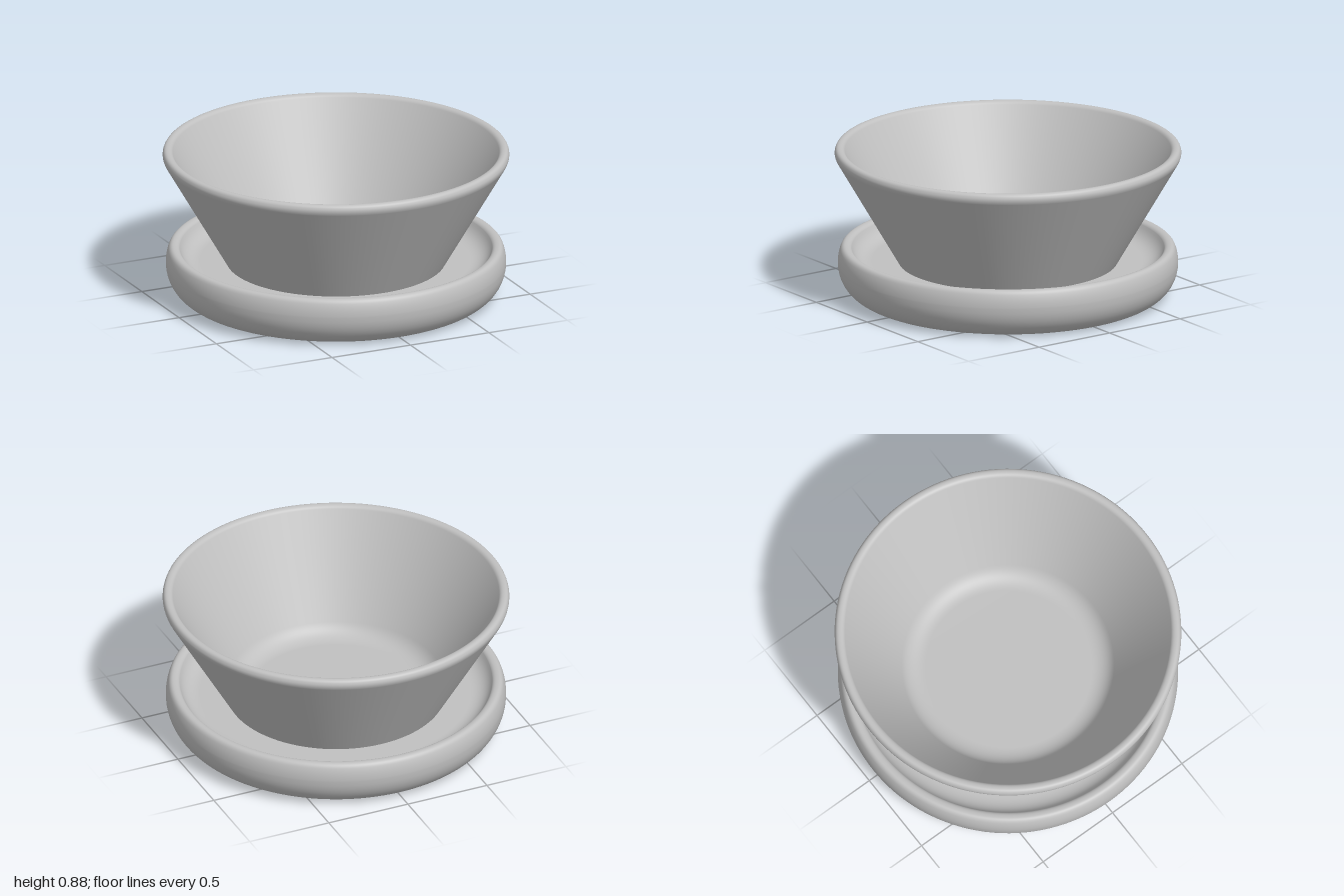
import * as THREE from 'three';
import { mergeGeometries } from 'three/addons/utils/BufferGeometryUtils.js';

const clay = new THREE.MeshStandardMaterial({ color: 0xc0c0c0 });
clay.name = 'grey clay';

const FOOT_RADIUS = 0.84;
const HOLE_RADIUS = 0.022;
const HOLE_DEPTH = 0.08;
const HOLE_OFFSET = 0.304;

function addMesh(group, name, geometry) {
  const mesh = new THREE.Mesh(geometry, clay);
  mesh.name = name;
  group.add(mesh);
  return mesh;
}

const revolve = (path, sides = 128) => new THREE.LatheGeometry(path.getPoints(10), sides);

export function createModel() {
  const model = new THREE.Group();
  model.name = 'planter with saucer';

  // Flared pot: outer wall, rounded rim, inner wall, filleted floor
  const pot = new THREE.Path();
  pot.moveTo(0.625, 0.19);
  pot.lineTo(0.99, 0.818);
  pot.quadraticCurveTo(1.003, 0.842, 0.996, 0.86);
  pot.quadraticCurveTo(0.99, 0.88, 0.97, 0.88);
  pot.quadraticCurveTo(0.948, 0.88, 0.938, 0.86);
  pot.lineTo(0.612, 0.3);
  pot.quadraticCurveTo(0.57, 0.225, 0.48, 0.225);
  pot.lineTo(0, 0.225);
  addMesh(model, 'pot', revolve(pot));

  // Saucer: bulging side, rounded lip, shallow raised tray
  const saucer = new THREE.Path();
  saucer.moveTo(FOOT_RADIUS, 0);
  saucer.bezierCurveTo(0.915, 0.015, 0.98, 0.09, 0.98, 0.19);
  saucer.quadraticCurveTo(0.98, 0.235, 0.966, 0.27);
  saucer.quadraticCurveTo(0.956, 0.295, 0.935, 0.295);
  saucer.quadraticCurveTo(0.91, 0.295, 0.9, 0.278);
  saucer.quadraticCurveTo(0.865, 0.2, 0.78, 0.2);
  saucer.lineTo(0.6, 0.2);
  addMesh(model, 'saucer', revolve(saucer));

  // Flat underside with four small holes
  const base = new THREE.Shape().absarc(0, 0, FOOT_RADIUS, 0, Math.PI * 2);
  const corners = [[1, 1], [1, -1], [-1, -1], [-1, 1]];
  for (const [sx, sz] of corners) {
    base.holes.push(new THREE.Path().absarc(
      sx * HOLE_OFFSET, sz * HOLE_OFFSET, HOLE_RADIUS, 0, Math.PI * 2, true));
  }
  addMesh(model, 'saucerUnderside', new THREE.ShapeGeometry(base, 64).rotateX(Math.PI / 2));

  // Hole linings, facing inwards and down
  const end = new THREE.Path().moveTo(0, HOLE_DEPTH).lineTo(HOLE_RADIUS, HOLE_DEPTH);
  const wall = new THREE.Path().moveTo(HOLE_RADIUS, HOLE_DEPTH).lineTo(HOLE_RADIUS, 0);
  const lining = mergeGeometries([revolve(end, 32), revolve(wall, 32)]);
  for (const [sx, sz] of corners) {
    addMesh(model, 'footHole', lining).position.set(sx * HOLE_OFFSET, 0, sz * HOLE_OFFSET);
  }

  return model;
}
